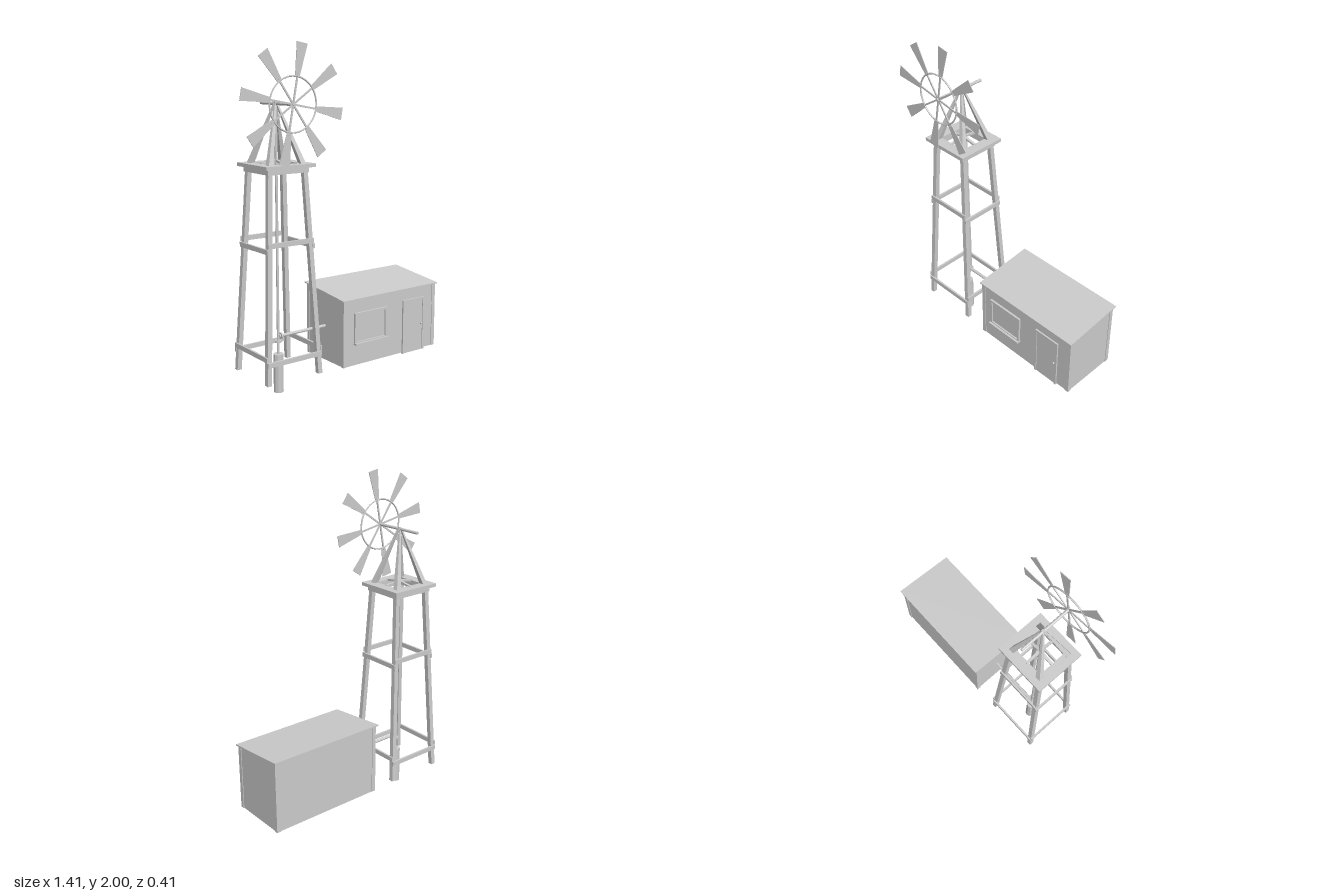
import * as THREE from 'three';

const mat = new THREE.MeshStandardMaterial({ color: 0xcccccc, flatShading: true, side: THREE.DoubleSide });

function add(parent, name, geometry, x = 0, y = 0, z = 0) {
  const mesh = new THREE.Mesh(geometry, mat);
  mesh.name = name;
  mesh.position.set(x, y, z);
  parent.add(mesh);
  return mesh;
}

// Box given by its extents on each axis
function block(parent, name, [x0, x1], [y0, y1], [z0, z1]) {
  return add(parent, name, new THREE.BoxGeometry(x1 - x0, y1 - y0, z1 - z0),
    (x0 + x1) / 2, (y0 + y1) / 2, (z0 + z1) / 2);
}

// Leaning square post with horizontal ends, from a (width wa) up to b (width wb)
function post(parent, name, a, b, wa, wb) {
  const g = new THREE.BoxGeometry(1, 1, 1);
  const p = g.attributes.position;
  for (let i = 0; i < p.count; i++) {
    const [c, w] = p.getY(i) > 0 ? [b, wb] : [a, wa];
    p.setXYZ(i, c[0] + p.getX(i) * w, c[1], c[2] + p.getZ(i) * w);
  }
  g.computeVertexNormals();
  return add(parent, name, g);
}

function rod(parent, name, r, length, x, y, z, axis = 'y', sides = 8) {
  const g = new THREE.CylinderGeometry(r, r, length, sides);
  if (axis === 'x') g.rotateZ(Math.PI / 2);
  if (axis === 'z') g.rotateX(Math.PI / 2);
  return add(parent, name, g, x, y, z);
}

// Flat rectangular frame with a rectangular hole, extruded along +z
function frame(hw, hh, iw, ih, depth) {
  const rect = (P, w, h) => new P([[-w, -h], [w, -h], [w, h], [-w, h]].map(c => new THREE.Vector2(...c)));
  const s = rect(THREE.Shape, hw, hh);
  s.holes.push(rect(THREE.Path, iw, ih));
  return new THREE.ExtrudeGeometry(s, { depth, bevelEnabled: false });
}

function buildTower() {
  const tower = new THREE.Group();
  tower.name = 'tower';
  tower.position.set(-0.372, 0, -0.006);

  // Half spread of the legs at a given height
  const legX = y => 0.173 - (y - 0.125) * 0.0485;
  const legZ = y => 0.164 - (y - 0.125) * 0.0485;
  const w = 0.028;
  for (const sx of [-1, 1]) for (const sz of [-1, 1]) {
    post(tower, 'leg', [sx * legX(0.125), 0.125, sz * legZ(0.125)],
      [sx * legX(1.32), 1.32, sz * legZ(1.32)], w, w);
    post(tower, 'headPost', [sx * 0.106, 1.34, sz * 0.1], [sx * 0.005, 1.67, sz * 0.005], 0.032, 0.01);
  }

  // Boards nailed outside the legs, front/back and sides at staggered heights
  for (const [yFront, ySide] of [[0.245, 0.275], [0.907, 0.875]]) {
    for (const s of [-1, 1]) {
      const fx = legX(yFront) + 0.016, fz = legZ(yFront) + w / 2;
      add(tower, 'crossBoard', new THREE.BoxGeometry(fx * 2, 0.028, 0.012), 0, yFront, s * (fz + 0.002));
      const px = legX(ySide) + w / 2, pz = legZ(ySide) + 0.018;
      add(tower, 'sideBoard', new THREE.BoxGeometry(0.012, 0.028, pz * 2), s * (px + 0.002), ySide, 0);
    }
  }

  // Open platform on a ring of beams
  add(tower, 'platform', frame(0.162, 0.154, 0.094, 0.088, 0.02).rotateX(-Math.PI / 2), 0, 1.322, 0);
  add(tower, 'platformBeams', frame(0.135, 0.127, 0.103, 0.095, 0.03).rotateX(-Math.PI / 2), 0, 1.292, 0);

  // Low braces that steady the pump rod
  for (const [dx, dz] of [[1, 0], [-1, 0], [0, 1], [0, -1]]) {
    const brace = add(tower, 'rodBrace', new THREE.BoxGeometry(0.1, 0.012, 0.016), dx * 0.05, 1.347, dz * 0.05);
    brace.rotation.set(0, Math.atan2(-dz, dx), -0.16);
  }

  // Well casing, pump rod and delivery pipe
  rod(tower, 'wellCasing', 0.03, 0.23, 0, 0.115, 0, 'y', 10);
  rod(tower, 'pumpRod', 0.008, 1.455, 0, 0.9525, 0);
  rod(tower, 'deliveryPipe', 0.01, 0.36, 0.19, 0.333, -0.005, 'x');
  rod(tower, 'pipeFlange', 0.02, 0.008, 0.022, 0.333, -0.005, 'x');
  rod(tower, 'pumpCollar', 0.02, 0.01, 0, 0.305, 0);
  return tower;
}

function buildWheel() {
  const wheel = new THREE.Group();
  wheel.name = 'windWheel';
  wheel.position.set(-0.372, 1.67, 0.168);

  const blade = new THREE.ExtrudeGeometry(
    new THREE.Shape([[-0.014, 0.15], [0.014, 0.15], [0.035, 0.331], [-0.035, 0.331]].map(c => new THREE.Vector2(...c))),
    { depth: 0.004, bevelEnabled: false }).translate(0, 0, -0.002);
  const spoke = new THREE.BoxGeometry(0.01, 0.17, 0.006).translate(0, 0.085, 0);
  for (let i = 0; i < 8; i++) {
    const a = THREE.MathUtils.degToRad(-10.5 + i * 45);
    add(wheel, 'blade', blade).rotation.z = a;
    add(wheel, 'spoke', spoke).rotation.z = a;
  }
  add(wheel, 'wheelRing', new THREE.TorusGeometry(0.151, 0.005, 6, 32));
  rod(wheel, 'axle', 0.009, 0.335, 0, 0, -0.156, 'z');
  return wheel;
}

function buildShed() {
  const shed = new THREE.Group();
  shed.name = 'shed';
  const x0 = -0.037, x1 = 0.693, z0 = -0.19, z1 = 0.18, y0 = 0.12;
  const roofY = z => 0.524 + (0.182 - z) * 0.1;

  // Side profile in (-z, y), extruded along x
  const across = (name, pts, xa, xb) => {
    const g = new THREE.ExtrudeGeometry(new THREE.Shape(pts.map(([z, y]) => new THREE.Vector2(-z, y))),
      { depth: xb - xa, bevelEnabled: false }).rotateY(Math.PI / 2);
    return add(shed, name, g, xa, 0, 0);
  };
  const d = 0.004;
  across('walls', [[z1 - d, y0], [z0 + d, y0], [z0 + d, roofY(z0)], [z1 - d, roofY(z1)]], x0 + d, x1 - d);
  across('roof', [[0.19, roofY(0.19)], [-0.205, roofY(-0.205)], [-0.205, roofY(-0.205) + 0.007], [0.19, roofY(0.19) + 0.007]],
    -0.046, 0.702);

  // Corner boards
  for (const [xa, xb] of [[x0, x0 + 0.025], [x1 - 0.025, x1]])
    for (const [za, zb] of [[z0, z0 + 0.025], [z1 - 0.025, z1]])
      across('cornerBoard', [[zb, y0], [za, y0], [za, roofY(za)], [zb, roofY(zb)]], xa, xb);

  // Window with raised frame and sill
  add(shed, 'windowFrame', frame(0.124, 0.096, 0.11, 0.082, 0.016), 0.166, 0.346, 0.173);
  block(shed, 'windowPane', [0.05, 0.28], [0.26, 0.43], [0.172, 0.179]);
  block(shed, 'windowSill', [0.04, 0.292], [0.248, 0.258], [0.173, 0.203]);

  // Door with frame and knob
  block(shed, 'doorPanel', [0.432, 0.586], [0.113, 0.445], [0.172, 0.181]);
  block(shed, 'doorHead', [0.422, 0.597], [0.443, 0.455], [0.172, 0.186]);
  for (const x of [0.422, 0.585])
    block(shed, 'doorJamb', [x, x + 0.012], [0.113, 0.444], [0.172, 0.186]);
  add(shed, 'doorKnob', new THREE.SphereGeometry(0.007, 8, 6), 0.574, 0.285, 0.186);
  return shed;
}

export function createModel() {
  const model = new THREE.Group();
  model.name = 'windPumpAndShed';
  model.add(buildTower(), buildWheel(), buildShed());
  return model;
}
